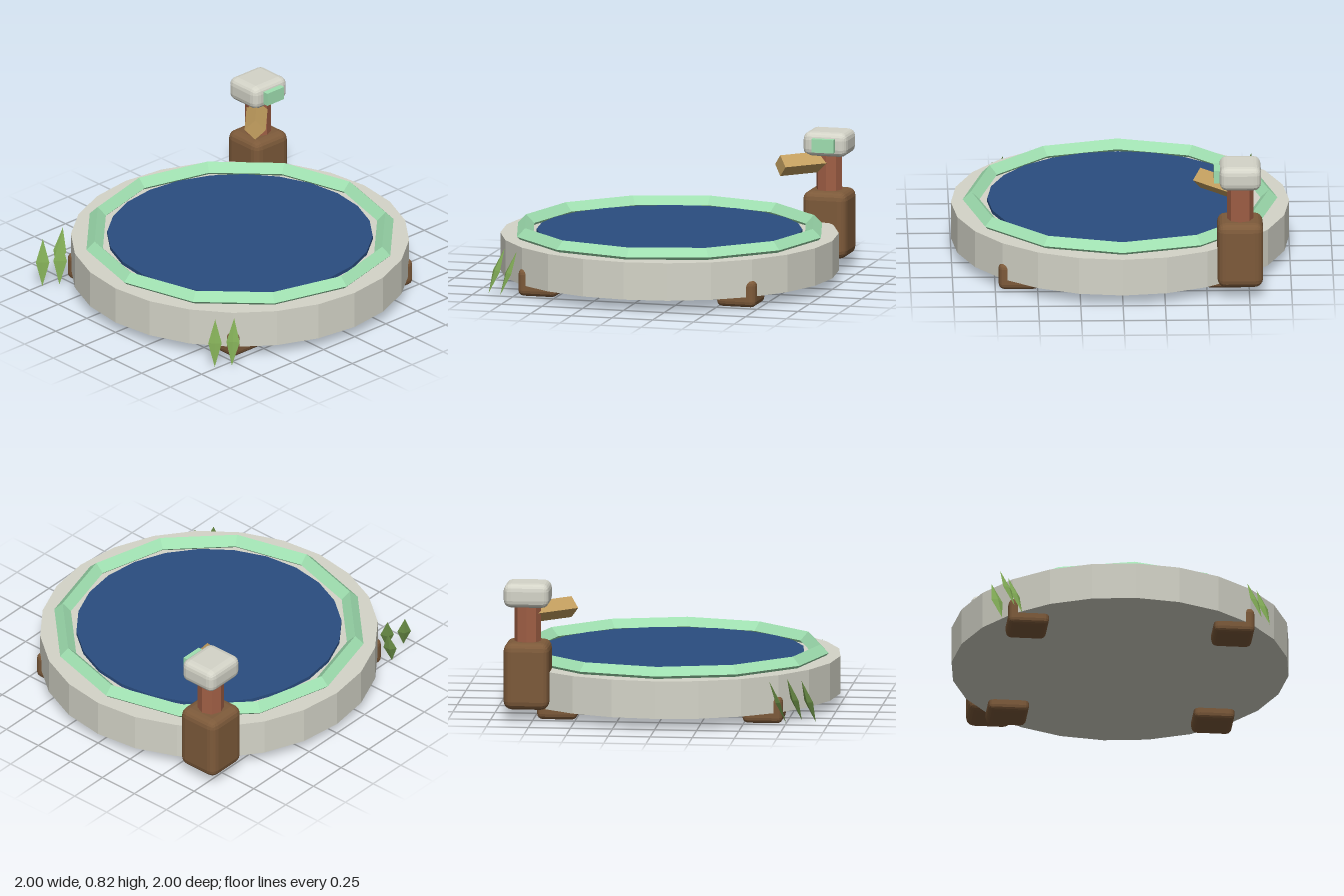
import * as THREE from 'three';
import { RoundedBoxGeometry } from 'three/addons/geometries/RoundedBoxGeometry.js';

const paint = (color) => new THREE.MeshStandardMaterial({ color, flatShading: true });
const concrete = paint(0xd4d4c8);
const mint = paint(0x9fdfb0);
const navy = paint(0x2a4d80);
const earth = paint(0x7d5a3a);
const brick = paint(0xa05f45);
const timber = paint(0xc4a060);
const leaf = paint(0x7da653);

export function createModel() {
  const model = new THREE.Group();

  const add = (name, geometry, material, x, y, z, parent = model) => {
    const mesh = new THREE.Mesh(geometry, material);
    mesh.name = name;
    mesh.position.set(x, y, z);
    parent.add(mesh);
    return mesh;
  };

  // Round platform with an inset landing disc
  add('platform', new THREE.CylinderGeometry(1, 1, 0.225, 24), concrete, 0, 0.183, 0);
  add('landingDisc', new THREE.CylinderGeometry(0.785, 0.785, 0.04, 24), navy, 0, 0.297, 0);

  // Twelve-sided kerb with a diamond section
  const kerb = new THREE.TorusGeometry(0.88, 0.05, 4, 12).rotateX(Math.PI / 2);
  add('kerbRing', kerb, mint, 0, 0.312, 0);

  // Four feet whose outer corners show past the platform wall
  const foot = new RoundedBoxGeometry(0.24, 0.165, 0.24, 2, 0.035);
  for (const x of [-0.61, 0.61]) {
    for (const z of [-0.61, 0.61]) add('foot', foot, earth, x, 0.088, z);
  }

  // Control post: base, column, head, screen and pointing arm
  const post = new THREE.Group();
  post.name = 'controlPost';
  post.position.set(0.785, 0, -0.695);
  model.add(post);
  add('postBase', new RoundedBoxGeometry(0.27, 0.4, 0.27, 2, 0.05), earth, 0, 0.275, 0, post);
  add('postColumn', new THREE.CylinderGeometry(0.078, 0.078, 0.32, 8), brick, 0, 0.57, 0, post);
  add('postHead', new RoundedBoxGeometry(0.27, 0.145, 0.245, 2, 0.045), concrete, 0, 0.757, 0, post);
  add('postScreen', new THREE.BoxGeometry(0.135, 0.08, 0.06), mint, 0, 0.757, 0.125, post);
  const arm = add('postArm', new THREE.CylinderGeometry(0.0625, 0.0625, 0.3, 4), timber, -0.13, 0.643, 0.125, post);
  arm.rotation.set(0, Math.PI / 4, Math.PI / 2);

  // Leaning grass blades: x, z and turn of each
  const blade = new THREE.OctahedronGeometry(1).scale(0.014, 0.14, 0.04);
  const blades = [
    [-0.89, -0.755, 0.8], [-0.8, -0.7, 0.75], [-0.71, -0.8, 0.5],
    [-0.86, 0.715, 0.8], [-0.77, 0.775, 0.7],
  ];
  for (const [x, z, turn] of blades) {
    add('grassBlade', blade, leaf, x, 0.15, z).rotation.set(0, turn, -0.4);
  }

  return model;
}
